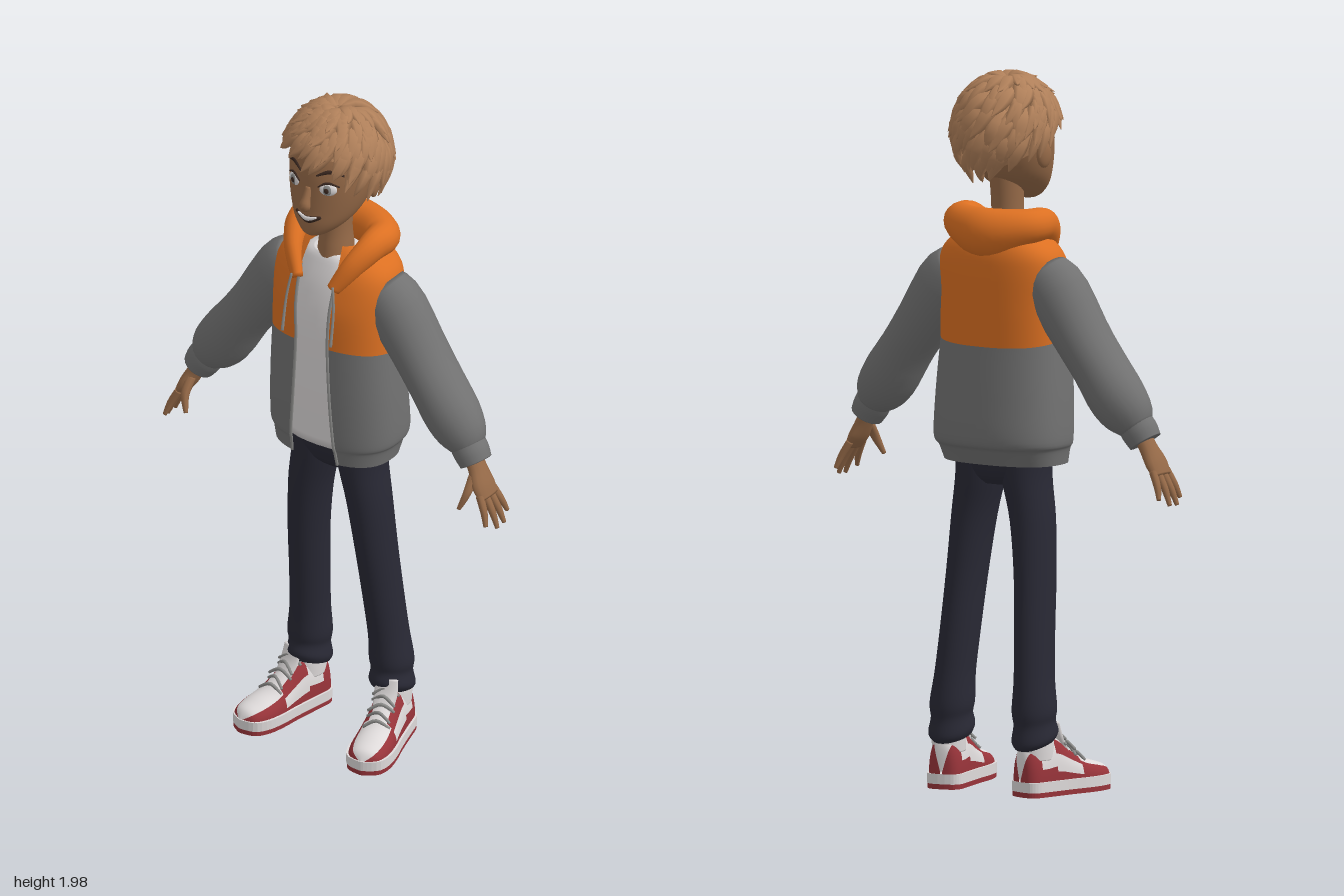
import * as THREE from 'three';

const mat = (name, color) => Object.assign(new THREE.MeshStandardMaterial({ color, side: THREE.DoubleSide }), { name });
const V = (x, y, z) => new THREE.Vector3(x, y, z);
const mix = THREE.MathUtils.lerp, TAU = 2 * Math.PI;

// Smooth interpolation through rows of numbers, t from 0 to 1
function sample(rows, t) {
  const f = Math.min(Math.max(t, 0), 1) * (rows.length - 1);
  const i = Math.min(Math.floor(f), rows.length - 2), k = f - i;
  const at = n => rows[Math.min(Math.max(n, 0), rows.length - 1)];
  return rows[i].map((b, c) => {
    const a = at(i - 1)[c], d = at(i + 1)[c], e = at(i + 2)[c];
    return b + 0.5 * k * (d - a + k * (2 * a - 5 * b + 4 * d - e + k * (3 * (b - d) + e - a)));
  });
}

// Surface from a point rule P(u, v); pick(u, v) may keep only some quads
function grid(P, nu, nv, { closed = false, caps = false, pick = () => true } = {}) {
  const pos = [], idx = [], cols = closed ? nv : nv + 1;
  for (let i = 0; i <= nu; i++) for (let j = 0; j < cols; j++) pos.push(...P(i / nu, j / nv).toArray());
  for (let i = 0; i < nu; i++) for (let j = 0; j < nv; j++) {
    const k = (j + 1) % cols, a = i * cols + j, b = a + cols, c = i * cols + k, d = c + cols;
    if (pick((i + 0.5) / nu, (j + 0.5) / nv)) idx.push(a, b, c, b, d, c);
  }
  if (caps) for (const i of [0, nu]) {
    const c = V(0, 0, 0), n = pos.length / 3;
    for (let j = 0; j < cols; j++) {
      const p = i * cols + j, q = i * cols + (j + 1) % cols;
      c.add(P(i / nu, j / nv).divideScalar(cols));
      idx.push(n, ...(i ? [q, p] : [p, q]));
    }
    pos.push(...c.toArray());
  }
  const g = new THREE.BufferGeometry().setIndex(idx);
  g.setAttribute('position', new THREE.Float32BufferAttribute(pos, 3));
  g.computeVertexNormals();
  return g;
}

// Horizontal ring row: [y, cx, rx, zFront, zBack, tilt, frontGap]
function ringPoint([y, cx, rx, zf, zb, tilt = 0, gap = 0], v, e) {
  const g = Math.asin(Math.min(1, (gap / rx) ** (1 / e)));
  const a = Math.PI / 2 + g + v * (TAU - 2 * g), pw = n => Math.sign(n) * Math.abs(n) ** e;
  const z = (zf + zb) / 2 + (zf - zb) / 2 * pw(Math.sin(a));
  return V(cx + rx * pw(Math.cos(a)), y + tilt * z, z);
}
const loft = (rows, { n = 32, steps = 24, e = 1, open = false } = {}) =>
  grid((u, v) => ringPoint(sample(rows, u), v, e), steps, n, { closed: !open, caps: !open });

// Tapered tube row: [x, y, z, sideRadius, upRadius]
function sweep(rows, up = V(0, 0, 1), n = 10, steps = 12) {
  return grid((u, v) => {
    const r = sample(rows, u), a = sample(rows, u - 0.01), b = sample(rows, u + 0.01);
    const T = V(b[0] - a[0], b[1] - a[1], b[2] - a[2]).normalize();
    const side = up.clone().cross(T).normalize(), w = side.clone().cross(T);
    return V(r[0], r[1], r[2]).addScaledVector(side, r[3] * Math.cos(v * TAU)).addScaledVector(w, r[4] * Math.sin(v * TAU));
  }, steps, n, { closed: true, caps: true });
}

export function createModel() {
  const root = new THREE.Group();
  const skin = mat('skin', 0x966a48), hair = mat('hair', 0xb0805a), orange = mat('orange cloth', 0xdc7022);
  const gray = mat('gray cloth', 0x727272), white = mat('white', 0xdedada), navy = mat('navy denim', 0x292935);
  const red = mat('red leather', 0x98343a), trim = mat('trim gray', 0x8c8c8a), dark = mat('dark brown', 0x3a2820);
  const put = (parent, o, name) => Object.assign(parent.add(o) && o, { name });
  const add = (name, g, m, parent = root) => put(parent, new THREE.Mesh(g, m), name);
  const ball = (name, m, p, s, ry) => {
    const o = add(name, new THREE.SphereGeometry(1, 20, 14), m);
    o.position.set(...p); o.scale.set(...s); o.rotation.y = ry;
  };

  // Jacket body, open down the front
  const seam = [1.252, 0, 0.186, 0.12, -0.137, 0.15, 0.052];
  const lower = [[0.905, 0, 0.178, 0.108, -0.125, 0, 0.075], [0.945, 0, 0.186, 0.114, -0.145, 0, 0.072],
    [0.975, 0, 0.197, 0.12, -0.162, 0, 0.07], [1.1, 0, 0.195, 0.122, -0.153, 0.05, 0.06], seam];
  const upper = [seam, [1.36, 0, 0.185, 0.117, -0.14, 0.1, 0.055], [1.44, 0, 0.186, 0.102, -0.14, 0, 0.058],
    [1.49, 0, 0.172, 0.085, -0.135, 0, 0.058], [1.53, 0, 0.13, 0.065, -0.12, 0, 0.055], [1.56, 0, 0.085, 0.05, -0.1, 0, 0.05]];
  add('jacketLower', loft(lower, { e: 0.8, open: true, n: 48 }), gray);
  add('jacketUpper', loft(upper, { e: 0.8, open: true, n: 48 }), orange);
  for (const v of [0, 1]) {
    const edge = [...lower, ...upper.slice(1, 4)].map(r => [...ringPoint(r, v, 0.8).toArray(), 0.005, 0.004]);
    add('zipper', sweep(edge, V(0, 0, 1), 6, 24), trim);
  }

  // Hood lying on the shoulders
  const half = [[0.06, 1.455, 0.1, 0.016, 0.02], [0.098, 1.52, 0.062, 0.026, 0.034], [0.12, 1.562, 0, 0.038, 0.044], [0.105, 1.562, -0.07, 0.05, 0.05]];
  const flip = half.map(([x, ...r]) => [-x, ...r]).reverse();
  add('hood', sweep([...half, [0, 1.545, -0.118, 0.056, 0.068], ...flip], V(0, 1, 0), 18, 48), orange);

  // Shirt, neck and hips
  add('shirt', loft([[0.94, 0, 0.15, 0.092, -0.1], [1.1, 0, 0.155, 0.1, -0.1], [1.3, 0, 0.155, 0.1, -0.1],
    [1.42, 0, 0.14, 0.085, -0.1], [1.5, 0, 0.1, 0.062, -0.09], [1.525, 0, 0.06, 0.05, -0.07]], { e: 0.85 }), white);
  add('neck', loft([[1.47, 0, 0.055, 0.062, -0.06], [1.54, 0, 0.047, 0.053, -0.055], [1.6, 0, 0.043, 0.047, -0.05], [1.7, 0, 0.046, 0.05, -0.06]]), skin);
  add('hips', loft([[0.845, 0, 0.07, 0.03, -0.07], [0.87, 0, 0.125, 0.05, -0.09], [0.92, 0, 0.146, 0.065, -0.1], [1.0, 0, 0.15, 0.07, -0.1]], { e: 0.85 }), navy);

  for (const s of [1, -1]) {
    const side = s > 0 ? 'left' : 'right';
    const [arm, leg, shoe] = ['Arm', 'Leg', 'Shoe'].map(n => put(root, new THREE.Group(), side + n));
    const limb = (name, rows, m, n = 10) => add(name, sweep(rows.map(([x, ...r]) => [s * x, ...r]), V(0, 0, 1), n, 16), m, arm);

    // Sleeve, cuff and hand
    limb('sleeve', [[0.135, 1.43, -0.025, 0.07, 0.07], [0.18, 1.385, -0.025, 0.087, 0.083], [0.265, 1.262, -0.025, 0.077, 0.083],
      [0.32, 1.185, -0.022, 0.075, 0.083], [0.372, 1.11, -0.02, 0.08, 0.08], [0.412, 1.06, -0.015, 0.07, 0.066], [0.434, 1.028, -0.012, 0.046, 0.048]], gray, 20);
    limb('cuff', [[0.425, 1.042, -0.012, 0.05, 0.05], [0.442, 1.018, -0.01, 0.051, 0.051], [0.458, 0.992, -0.008, 0.046, 0.047]], gray, 20);
    limb('palm', [[0.445, 1.015, -0.008, 0.022, 0.03], [0.466, 0.975, -0.005, 0.022, 0.032], [0.488, 0.935, 0, 0.021, 0.043], [0.507, 0.902, 0, 0.014, 0.04]], skin, 14);
    for (const [z, x, y, tz] of [[0.032, 0.532, 0.838, 0.052], [0.011, 0.546, 0.822, 0.016], [-0.011, 0.545, 0.824, -0.018], [-0.031, 0.532, 0.842, -0.052]])
      limb('finger', [[0.499, 0.915, z, 0.011, 0.012], [mix(0.505, x, 0.55), mix(0.91, y, 0.5), mix(z, tz, 0.5), 0.01, 0.01], [x, y, tz, 0.006, 0.006]], skin, 8);
    limb('thumb', [[0.468, 0.96, 0.018, 0.014, 0.014], [0.467, 0.92, 0.048, 0.012, 0.012], [0.452, 0.875, 0.066, 0.006, 0.006]], skin, 8);

    // Trouser leg with a gathered hem
    add('trouserLeg', loft([[0.165, 0.135, 0.052, -0.008, -0.132, 0.3], [0.185, 0.137, 0.061, 0, -0.142, 0.3], [0.215, 0.136, 0.055, -0.008, -0.135, 0.2],
      [0.245, 0.135, 0.06, -0.004, -0.138, 0.1], [0.32, 0.13, 0.053, 0, -0.128], [0.45, 0.121, 0.052, 0.016, -0.115],
      [0.6, 0.111, 0.054, 0.036, -0.1], [0.75, 0.096, 0.06, 0.05, -0.092], [0.86, 0.076, 0.068, 0.055, -0.094],
      [0.93, 0.07, 0.074, 0.055, -0.094]].map(([y, x, r, zf, zb, tilt = 0]) => [y, s * x, r, zf, zb, tilt]), { steps: 40 }), navy, leg);

    // High-top shoe: stations are [z, half width, height]
    shoe.position.set(s * 0.14, 0, -0.09);
    shoe.rotation.y = s * 0.23;
    const st = [[-0.045, 0.004, 0.02], [-0.04, 0.03, 0.09], [-0.02, 0.045, 0.12], [0.02, 0.048, 0.125], [0.06, 0.05, 0.135], [0.11, 0.053, 0.1],
      [0.16, 0.058, 0.066], [0.21, 0.057, 0.05], [0.25, 0.042, 0.036], [0.268, 0.006, 0.012]];
    const body = (u, v) => {
      const [z, w, h] = sample(st, u), a = Math.PI * (1 - v);
      return V(w * Math.cos(a), 0.03 + h * Math.abs(Math.sin(a)) ** 0.8, z);
    };
    const isRed = (u, v) => {
      const z = sample(st, u)[0], k = Math.sin(Math.PI * v);
      return z < 0 ? k < 0.8 : z > 0.14 ? k < 0.72 : z > 0.05 ? (k > 0.55 && k < 0.88) || k < 0.2 : k < 0.3;
    };
    add('upperRed', grid(body, 54, 32, { pick: isRed }), red, shoe);
    add('upperWhite', grid(body, 54, 32, { pick: (u, v) => !isRed(u, v) }), white, shoe);
    for (const [name, m, y, depth, k] of [['outsole', red, 0, 0.014, 0.004], ['midsole', white, 0.014, 0.028, 0.006]]) {
      const rim = [...st.map(([z, w]) => new THREE.Vector2(w + k, -z)), ...st.map(([z, w]) => new THREE.Vector2(-w - k, -z)).reverse()];
      const g = new THREE.ExtrudeGeometry(new THREE.Shape(new THREE.SplineCurve(rim).getPoints(60)), { depth, bevelEnabled: false });
      add(name, g.rotateX(-Math.PI / 2), m, shoe).position.y = y;
    }
    add('collar', loft([[0.1, 0, 0.045, 0.07, -0.038], [0.15, 0, 0.046, 0.066, -0.04], [0.17, 0, 0.042, 0.055, -0.036]]), white, shoe);
    add('tongue', sweep([[0, 0.11, 0.115, 0.028, 0.008], [0, 0.155, 0.085, 0.034, 0.01], [0, 0.198, 0.072, 0.032, 0.008]]), white, shoe);
    for (let i = 0; i < 5; i++) {
      const z = 0.155 - i * 0.018, y = 0.103 + i * 0.016, d = i % 2 ? 0.008 : -0.008;
      add('lace', sweep([[-0.036, y - 0.016, z - d, 0.004, 0.004], [0, y + 0.006, z, 0.005, 0.005], [0.036, y - 0.016, z + d, 0.004, 0.004]], V(0, 1, 0), 6, 8), trim, shoe);
    }
    add(side + 'Drawstring', sweep([[s * 0.068, 1.47, 0.115, 0.004, 0.004], [s * 0.078, 1.4, 0.125, 0.004, 0.004], [s * 0.08, 1.3, 0.142, 0.005, 0.005]], V(0, 0, 1), 6), trim);
  }

  // Head and face
  const headRows = [[1.617, 0, 0.018, 0.122, 0.08], [1.63, 0, 0.045, 0.136, 0.03], [1.66, 0, 0.078, 0.14, -0.02], [1.7, 0, 0.102, 0.138, -0.07],
    [1.76, 0, 0.118, 0.135, -0.105], [1.82, 0, 0.12, 0.131, -0.12], [1.88, 0, 0.11, 0.116, -0.12], [1.93, 0, 0.07, 0.07, -0.08], [1.95, 0, 0.01, 0.01, -0.02]];
  const faceZ = (x, y) => {
    const i = headRows.findIndex(r => r[0] > y), a = headRows[i - 1], b = headRows[i];
    const [rx, zf, zb] = [2, 3, 4].map(c => mix(a[c], b[c], (y - a[0]) / (b[0] - a[0])));
    return (zf + zb) / 2 + (zf - zb) / 2 * Math.sqrt(1 - (x / rx) ** 2);
  };
  const strip = (name, pts, h, m, out = 0.001) =>
    add(name, sweep(pts.map(([x, y], i) => [x, y, faceZ(x, y) + out, i % 2 ? h : h * 0.4, 0.004]), V(0, 0, 1), 8), m);
  add('head', loft(headRows, { steps: 40, n: 40 }), skin);
  add('nose', sweep([[0, 1.775, 0.13, 0.009, 0.008], [0, 1.745, 0.142, 0.012, 0.012], [0, 1.722, 0.15, 0.017, 0.015], [0, 1.71, 0.138, 0.01, 0.008]]), skin);
  strip('mouth', [[-0.04, 1.69], [0, 1.677], [0.04, 1.69]], 0.011, dark);
  strip('teeth', [[-0.03, 1.689], [0, 1.68], [0.03, 1.689]], 0.007, white, 0.003);
  for (const s of [1, -1]) {
    const z = faceZ(0.055, 1.777);
    ball('eye', white, [s * 0.055, 1.777, z - 0.003], [0.025, 0.019, 0.009], s * 0.45);
    ball('iris', trim, [s * 0.055, 1.777, z + 0.002], [0.014, 0.016, 0.006], s * 0.4);
    ball('pupil', dark, [s * 0.055, 1.777, z + 0.005], [0.008, 0.009, 0.005], s * 0.4);
    strip('eyelid', [[s * 0.03, 1.784], [s * 0.055, 1.798], [s * 0.082, 1.786]], 0.004, dark);
    strip('eyebrow', [[s * 0.025, 1.817], [s * 0.058, 1.831], [s * 0.09, 1.818]], 0.006, dark);
    ball('ear', skin, [s * 0.122, 1.755, -0.005], [0.013, 0.036, 0.024], s * 0.3);
  }

  // Hair: a scalp shell covered by swirling pointed locks
  let seed = 7;
  const rnd = () => (seed = (seed * 16807) % 2147483647) / 2147483647;
  const scalp = (a, p, k) => V(0.139 * Math.sin(p) * Math.cos(a) * k, 1.812 + 0.152 * Math.cos(p) * k, -0.006 + 0.148 * Math.sin(p) * Math.sin(a) * k);
  const limit = a => 1.8 - 0.55 * Math.sin(a);
  add('scalpHair', grid((u, v) => scalp(v * TAU, Math.max(0.001, (1 - u) * (limit(v * TAU) - 0.12)), 0.97), 18, 40, { closed: true }), hair);
  const locks = put(root, new THREE.Group(), 'hairLocks');
  for (let row = 0; row < 7; row++) {
    const count = 9 + Math.min(row, 4) * 4;
    for (let i = 0; i < count; i++) {
      const a = (i + rnd() * 0.7 + row * 0.5) / count * TAU, tw = 0.1 + 0.18 * rnd(), w = 0.017 + 0.01 * rnd();
      const end = limit(a) * (0.3 + 0.72 * row / 6) + rnd() * 0.15, p = Math.max(0.06, end - 0.75);
      const rows = [[0, p, 0.95, w * 0.6, 0.008], [tw, mix(p, end, 0.4), 1.035, w, 0.011], [tw * 1.7, mix(p, end, 0.75), 1.05, w * 0.75, 0.009],
        [tw * 2.2, end, 1.05 + 0.1 * rnd(), 0.001, 0.001]].map(([da, q, k, ...r]) => [...scalp(a + da, q, k).toArray(), ...r]);
      add('lock', sweep(rows, scalp(a + tw, (p + end) / 2, 1).sub(V(0, 1.812, -0.006)).normalize(), 6, 7), hair, locks);
    }
  }
  return root;
}
